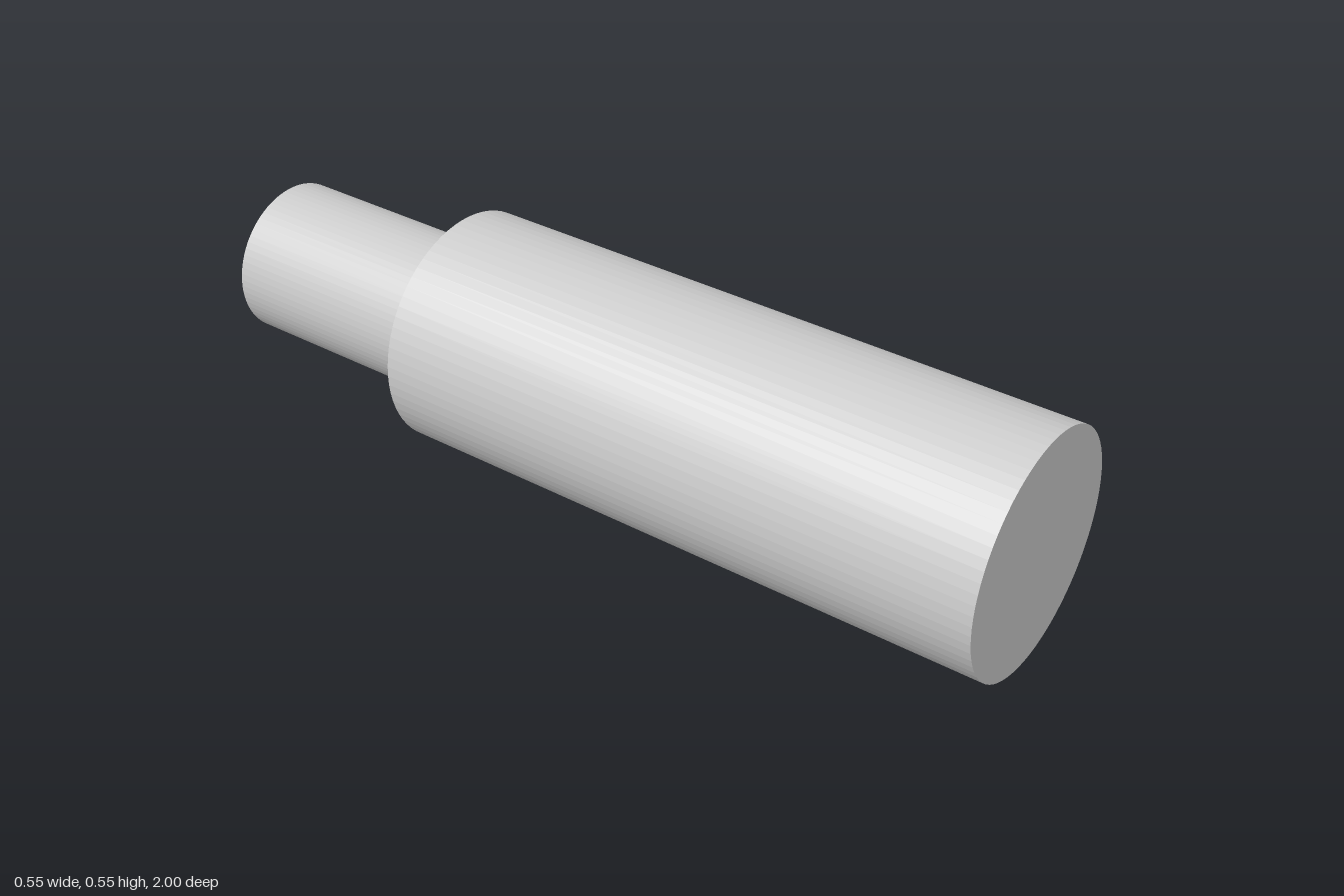
import * as THREE from 'three';

const AXIS_Y = 0.2727;
const SIDES = 72;

export function createModel() {
  const group = new THREE.Group();
  group.name = 'steppedPin';
  const material = new THREE.MeshStandardMaterial({ color: 0xcccccc, flatShading: true });

  // Round bar along z, between two z positions
  const addBar = (name, radius, zBack, zFront) => {
    const geometry = new THREE.CylinderGeometry(radius, radius, zFront - zBack, SIDES);
    geometry.rotateX(Math.PI / 2);
    const bar = new THREE.Mesh(geometry, material);
    bar.name = name;
    bar.position.set(0, AXIS_Y, (zBack + zFront) / 2);
    group.add(bar);
  };

  // Thick body at the front, thinner spigot at the back
  addBar('body', 0.2727, -0.4545, 1);
  addBar('spigot', 0.1818, -1, -0.4545);

  return group;
}
